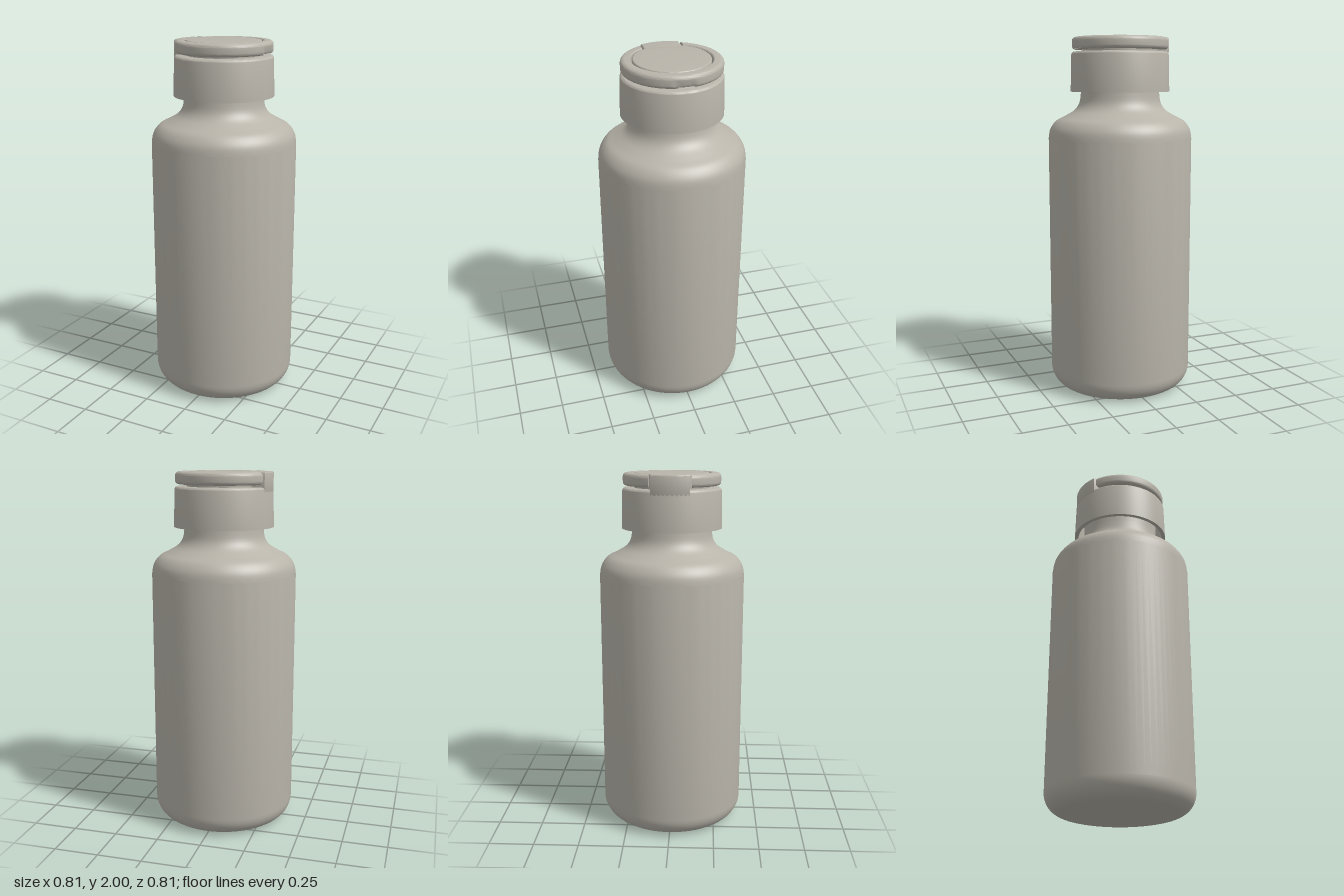
import * as THREE from 'three';
import { toCreasedNormals } from 'three/addons/utils/BufferGeometryUtils.js';

const SEG = 72;
const v = (x, y) => new THREE.Vector2(x, y);

export function createModel() {
  const group = new THREE.Group();
  const warmGrey = new THREE.MeshStandardMaterial({ color: 0xb8b4aa });
  warmGrey.name = 'warmGrey';

  const add = (name, geometry, crease = 0.6) => {
    const mesh = new THREE.Mesh(toCreasedNormals(geometry, crease), warmGrey);
    mesh.name = name;
    group.add(mesh);
    return mesh;
  };

  // Quarter-ellipse corner between two angles, as profile points
  const corner = (cx, cy, rx, ry, from, to, n = 6) =>
    Array.from({ length: n + 1 }, (_, i) => {
      const a = from + ((to - from) * i) / n;
      return v(cx + rx * Math.cos(a), cy + ry * Math.sin(a));
    });

  // Bottle: recessed base, rounded foot, straight wall, S-shaped shoulder, neck
  const shoulder = new THREE.SplineCurve([
    v(0.405, 1.44), v(0.395, 1.492), v(0.362, 1.537), v(0.31, 1.565),
    v(0.257, 1.598), v(0.229, 1.64), v(0.22, 1.7),
  ]).getPoints(24);
  add('bottle', new THREE.LatheGeometry([
    v(0, 0.022), v(0.237, 0.022), v(0.3, 0),
    ...corner(0.305, 0.11, 0.1, 0.11, -Math.PI / 2, 0, 10),
    ...shoulder, v(0.22, 1.87),
  ], SEG));

  // Cap skirt: hollow underneath, with a softened top edge
  add('capSkirt', new THREE.LatheGeometry([
    v(0, 1.86), v(0.256, 1.86), v(0.256, 1.7), v(0.278, 1.7),
    ...corner(0.257, 1.902, 0.016, 0.018, 0, Math.PI / 2), v(0, 1.92),
  ], SEG));

  // Flip ring: C-shaped, with both ends cut parallel to the hinge tongue
  const cut = 0.113;
  const ringProfile = [
    v(0.214, 1.932),
    ...corner(0.25, 1.95, 0.019, 0.018, -Math.PI / 2, 0),
    ...corner(0.247, 1.978, 0.022, 0.022, 0, Math.PI / 2),
    v(0.219, 2), v(0.214, 1.995), v(0.214, 1.932),
  ];
  const ring = new THREE.LatheGeometry(ringProfile, SEG);
  const pos = ring.attributes.position;
  for (let i = 0; i <= SEG; i++) {
    ringProfile.forEach((p, j) => {
      const end = Math.PI - Math.asin(cut / p.x);
      const a = end * ((2 * i) / SEG - 1);
      // shallow thumb notch opposite the hinge
      const dent = Math.abs(a) < 0.16 && p.x > 0.26 && p.y < 1.97 ? 0.01 : 0;
      pos.setXYZ(i * ringProfile.length + j,
        (p.x - dent) * Math.cos(a), p.y, -(p.x - dent) * Math.sin(a));
    });
  }
  add('flipRing', ring);

  // Flat faces closing the two ends of the ring
  for (const side of [-1, 1]) {
    const outline = ringProfile.slice(0, -1)
      .map((p) => v(side * Math.sqrt(p.x * p.x - cut * cut), p.y));
    const end = add('flipRingEnd', new THREE.ShapeGeometry(new THREE.Shape(outline)));
    end.position.z = side * cut;
    if (side > 0) end.rotation.y = Math.PI;
  }

  // Centre disc with the hinge tongue running out to the skirt
  const bevel = 0.007;
  const half = 0.104 - bevel;
  const discR = 0.206 - bevel;
  const outerR = 0.273 - bevel;
  const tip = Math.PI - Math.asin(half / outerR);
  const join = Math.PI - Math.asin((half + 0.018) / discR);
  const shape = new THREE.Shape();
  shape.absarc(0, 0, discR, -join, join, false);
  shape.quadraticCurveTo(-0.168, half, -0.19, half);
  shape.lineTo(outerR * Math.cos(tip), half);
  shape.absarc(0, 0, outerR, tip, 2 * Math.PI - tip, false);
  shape.lineTo(-0.19, -half);
  shape.quadraticCurveTo(-0.168, -half, discR * Math.cos(join), -discR * Math.sin(join));
  const disc = new THREE.ExtrudeGeometry(shape, {
    depth: 0.12 - 2 * bevel, bevelEnabled: true, bevelSize: bevel,
    bevelThickness: bevel, bevelSegments: 3, curveSegments: 40,
  });
  disc.rotateX(-Math.PI / 2);
  disc.translate(0, 1.88 + bevel, 0);
  add('centreDiscAndHinge', disc);

  return group;
}
